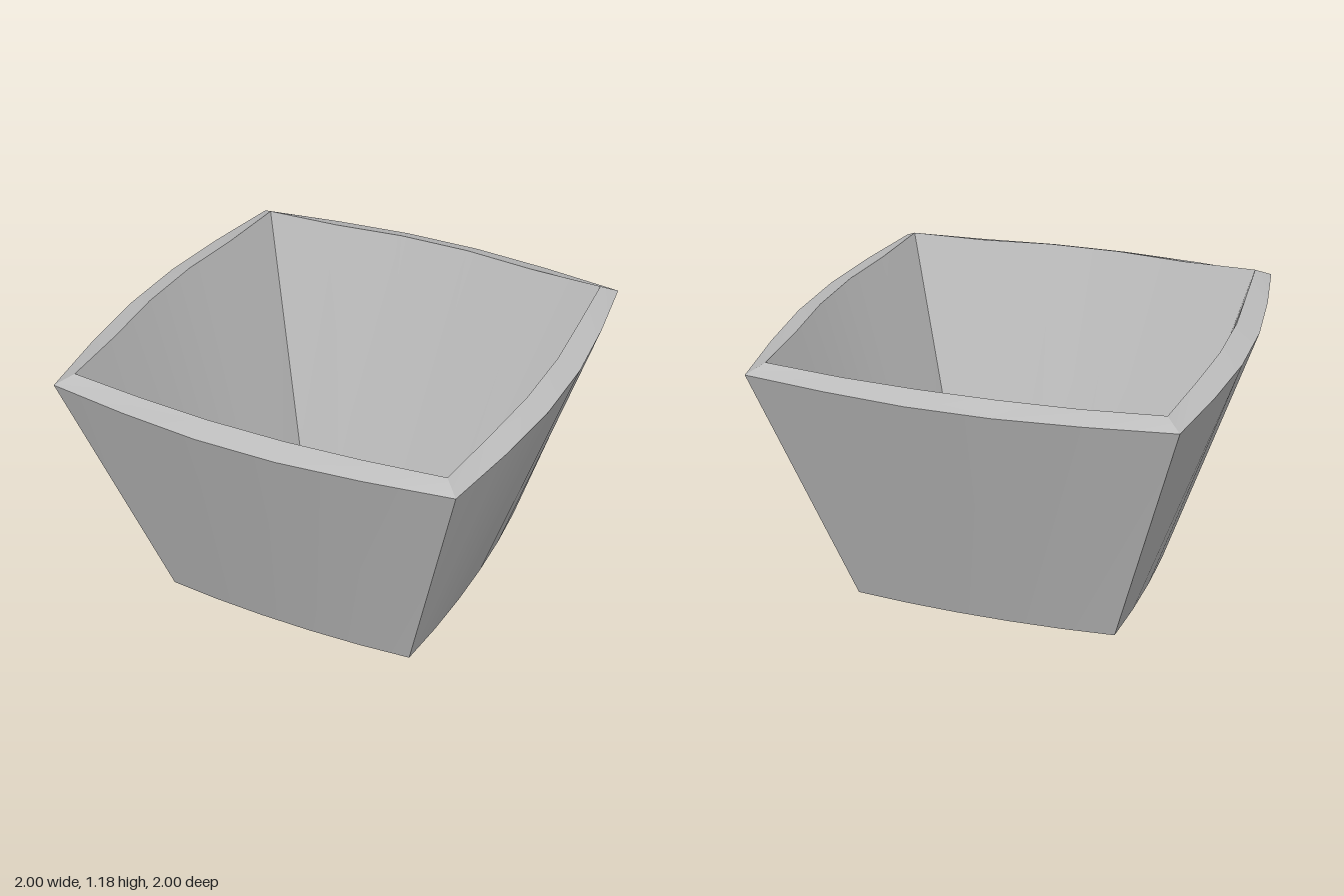
import * as THREE from 'three';
import { mergeGeometries } from 'three/addons/utils/BufferGeometryUtils.js';

// One side of a bowed square ring: half profile [x, y, z] mirrored to run from -x to +x
const side = (half) => [...half.map(([x, y, z]) => [-x, y, z]), ...half.slice().reverse()];

const outerBase = side([[0.59, 0, 0.59], [0.36, 0, 0.61], [0.12, 0, 0.62]]);
const outerRim = side([[0.91, 1.145, 0.91], [0.54, 1.145, 0.965], [0.18, 1.145, 1.0]]);
const innerRim = side([[0.845, 1.183, 0.845], [0.5, 1.175, 0.872], [0.17, 1.18, 0.9]]);
const innerBase = side([[0.54, 0.08, 0.54], [0.33, 0.08, 0.55], [0.11, 0.08, 0.557]]);

// Strip between two rings on the front side, smooth along its length
function strip(from, to) {
  const n = from.length;
  const index = [];
  for (let i = 0; i < n - 1; i++) {
    index.push(i, i + 1, n + i + 1, i, n + i + 1, n + i);
  }
  const g = new THREE.BufferGeometry();
  g.setAttribute('position', new THREE.Float32BufferAttribute([...from, ...to].flat(), 3));
  g.setIndex(index);
  g.computeVertexNormals();
  return g;
}

// Repeat a strip round the four sides; corners stay sharp
function fourSides(from, to) {
  const g = strip(from, to);
  return mergeGeometries([0, 1, 2, 3].map((k) => g.clone().rotateY(k * Math.PI / 2)));
}

// Flat bowed square at the height of a ring, facing up or down
function panel(ring, up) {
  const points = [];
  for (let k = 0; k < 4; k++) {
    for (const [x, y, z] of ring.slice(0, -1)) {
      const p = new THREE.Vector3(x, y, z).applyAxisAngle(new THREE.Vector3(0, 1, 0), k * Math.PI / 2);
      points.push(new THREE.Vector2(p.x, up ? -p.z : p.z));
    }
  }
  const g = new THREE.ShapeGeometry(new THREE.Shape(points));
  g.rotateX(up ? -Math.PI / 2 : Math.PI / 2);
  return g.translate(0, ring[0][1], 0);
}

export function createModel() {
  const group = new THREE.Group();
  group.name = 'squarePot';
  const grey = new THREE.MeshStandardMaterial({ color: 0xbcbcbc });
  grey.name = 'light grey';

  const add = (name, geometry) => {
    const mesh = new THREE.Mesh(geometry, grey);
    mesh.name = name;
    group.add(mesh);
  };
  add('outerWalls', fourSides(outerBase, outerRim));
  add('rim', fourSides(outerRim, innerRim));
  add('innerWalls', fourSides(innerRim, innerBase));
  add('innerFloor', panel(innerBase, true));
  add('underside', panel(outerBase, false));
  return group;
}
